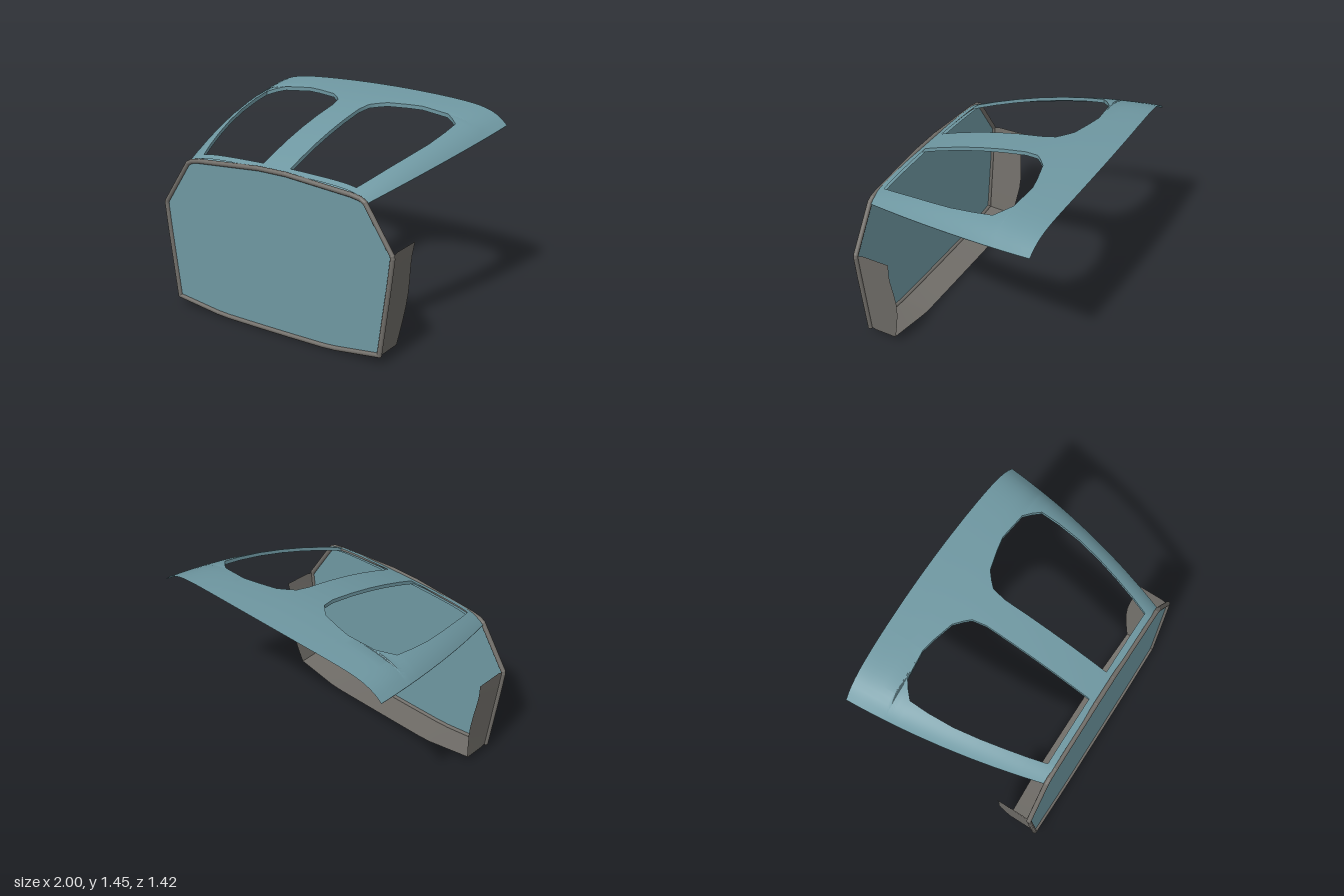
import * as THREE from 'three';
import { toCreasedNormals } from 'three/addons/utils/BufferGeometryUtils.js';

const V = (x, y, z) => new THREE.Vector3(x, y, z);
const FRONT = 0.694;

// Joins rows of points into a surface; closed wraps each row into a loop.
function loft(rows, closed, crease = 0.6) {
  const pos = [];
  const n = rows[0].length;
  for (let r = 0; r < rows.length - 1; r++) {
    for (let j = 0; j < (closed ? n : n - 1); j++) {
      const k = (j + 1) % n;
      const a = rows[r][j], b = rows[r][k], c = rows[r + 1][k], d = rows[r + 1][j];
      for (const p of [a, b, c, a, c, d]) pos.push(p.x, p.y, p.z);
    }
  }
  const g = new THREE.BufferGeometry();
  g.setAttribute('position', new THREE.Float32BufferAttribute(pos, 3));
  return toCreasedNormals(g, crease);
}

// Canopy surface: crown line, lower edge line and half width along z.
const crownY = z => 1.377 - 0.213 * z - 0.145 * z * z;
const edgeY = z => 1.22 - 0.1706 * z - 0.052 * z * z;
const halfWidth = z => 0.915 - 0.195 * z - 0.102 * z * z;

function canopyPoint(x, z, under) {
  const u = Math.min(1, Math.abs(x) / halfWidth(z));
  const drop = 0.3 * u * u + 0.7 * u ** 10;
  const back = THREE.MathUtils.clamp((-z - 0.45) / 0.26, 0, 1);
  const thick = under ? Math.max(0.003, 0.028 * Math.min(1, (1 - u) * 9) * (1 - back)) : 0;
  const y = THREE.MathUtils.lerp(crownY(z), edgeY(z), drop) - thick;
  return V(x, y, z + 0.04 * x * x * back);
}

// Closed cross-section of the canopy between two x positions.
function section(z, x0, x1, n = 12) {
  const top = [], bottom = [];
  for (let i = 0; i <= n; i++) {
    const x = x0 + (x1 - x0) * i / n;
    top.push(canopyPoint(x, z, false));
    bottom.unshift(canopyPoint(x, z, true));
  }
  return [...top, ...bottom];
}

// z, half width of the centre beam, inner x of the side pillar
const canopyRows = [
  [0.685, 0.11, 0.61], [0.64, 0.11, 0.625], [0.52, 0.11, 0.665], [0.36, 0.11, 0.71],
  [0.2, 0.11, 0.75], [0.02, 0.11, 0.785], [-0.16, 0.11, 0.8], [-0.26, 0.13, 0.8],
  [-0.3, 0.17, 0.8], [-0.35, 0.23, 0.745], [-0.39, 0.38, 0.69], [-0.41, 0.48, 0.48],
  [-0.5, 0.48, 0.48], [-0.6, 0.48, 0.48], [-0.71, 0.48, 0.48],
];

// Right half of the front outline, bottom centre to top centre
const half = [
  [0.12, 0.018], [0.4, 0.02], [0.5, 0.026], [0.845, 0.07], [0.91, 0.56], [0.933, 0.755],
  [0.93, 0.775], [0.725, 1.085], [0.69, 1.105], [0.62, 1.118], [0.11, 1.158],
];
const outline = [...half, ...half.map(([x, y]) => [-x, y]).reverse()];

export function createModel() {
  const teal = new THREE.MeshStandardMaterial({ color: 0x6f98a2, side: THREE.DoubleSide });
  teal.name = 'dusty teal';
  const grey = new THREE.MeshStandardMaterial({ color: 0x706d68, side: THREE.DoubleSide });
  grey.name = 'warm grey';

  const model = new THREE.Group();
  const add = (name, geometry, material, parent = model) => {
    const mesh = new THREE.Mesh(geometry, material);
    mesh.name = name;
    parent.add(mesh);
    return mesh;
  };

  // Flat front panel
  const shape = new THREE.Shape(outline.map(([x, y]) => new THREE.Vector2(x, y)));
  add('frontPanel', new THREE.ShapeGeometry(shape), teal).position.z = FRONT;

  // Round rim: a bar along each side of the outline with a ball at each joint
  const rim = new THREE.Group();
  rim.name = 'rim';
  model.add(rim);
  outline.forEach(([x, y], i) => {
    const [x2, y2] = outline[(i + 1) % outline.length];
    const a = V(x, y, FRONT), b = V(x2, y2, FRONT);
    const dir = b.clone().sub(a);
    const bar = add('rimBar', new THREE.CylinderGeometry(0.017, 0.017, dir.length(), 10, 1, true), grey, rim);
    bar.position.copy(a).add(b).multiplyScalar(0.5);
    bar.quaternion.setFromUnitVectors(V(0, 1, 0), dir.normalize());
    add('rimJoint', new THREE.SphereGeometry(0.0175, 10, 8), grey, rim).position.copy(a);
  });

  // Canopy: centre beam, two side pillars and short ledges behind the rim
  const canopy = new THREE.Group();
  canopy.name = 'canopy';
  model.add(canopy);
  add('centreBeam', loft(canopyRows.map(([z, b]) => section(z, -b, b)), true), teal, canopy);
  for (const s of [1, -1]) {
    const span = (z, a, b) => (s > 0 ? section(z, a, b) : section(z, -b, -a));
    const side = s > 0 ? 'left' : 'right';
    add(side + 'Pillar', loft(canopyRows.map(([z, , i]) => span(z, i, halfWidth(z))), true), teal, canopy);
    add(side + 'Ledge', loft([span(0.685, 0.11, 0.61), span(0.64, 0.11, 0.625)], true), teal, canopy);
  }

  // Side flaps: y at the front, y at the back, z of the back edge
  const flap = [
    [0.07, 0.06, 0.48], [0.2, 0.2, 0.447], [0.32, 0.32, 0.426], [0.42, 0.42, 0.42],
    [0.52, 0.52, 0.427], [0.62, 0.62, 0.439], [0.7, 0.7, 0.441], [0.767, 0.79, 0.428],
  ];
  const flapX = y => 0.845 + 0.125 * (y - 0.07);
  for (const s of [1, -1]) {
    const front = flap.map(([y]) => V(s * flapX(y), y, FRONT));
    const mid = flap.map(([y, yb], i) => V(s * flapX(y), i === flap.length - 1 ? 0.785 : yb, 0.64));
    const back = flap.map(([, y, z]) => V(s * flapX(y), y, z));
    add(s > 0 ? 'leftFlap' : 'rightFlap', loft([front, mid, back], false), grey);
  }

  // Bottom flap following the lower edge
  const low = [...half.slice(0, 4).map(([x, y]) => [-x, y]).reverse(), ...half.slice(0, 4)];
  add('bottomFlap', loft([
    low.map(([x, y]) => V(x, y, FRONT)),
    low.map(([x, y]) => V(x, y - 0.005 * Math.abs(x), Math.abs(x) > 0.8 ? 0.48 : 0.46)),
  ], false), grey);

  return model;
}
